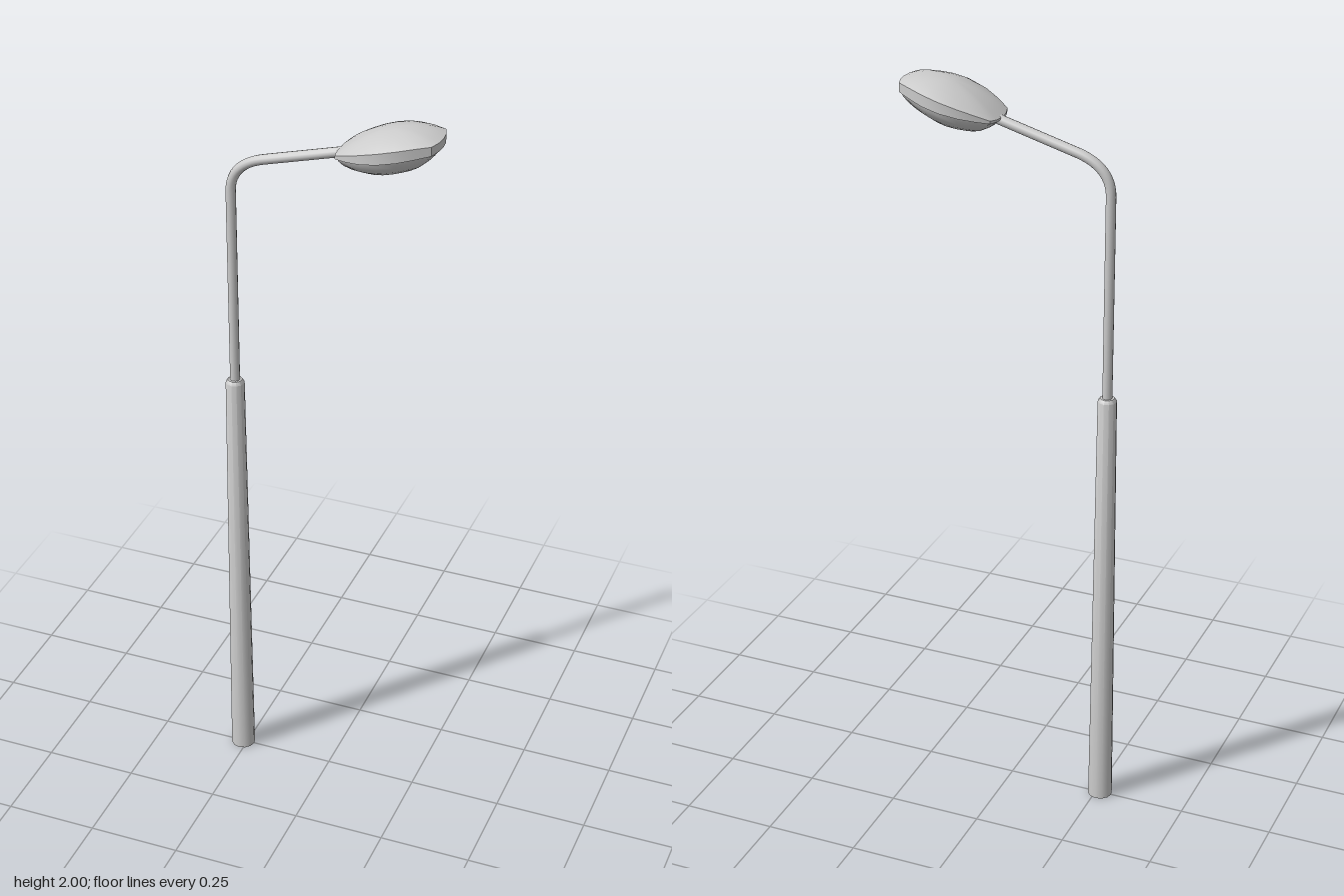
import * as THREE from 'three';
import { toCreasedNormals } from 'three/addons/utils/BufferGeometryUtils.js';

const POLE_X = -0.262;
const material = new THREE.MeshStandardMaterial({ color: 0xcccccc, side: THREE.DoubleSide });

// Half of the lamp head's plan outline as [x, z]; mirrored to close the loop
const half = [
  [0.026, 0], [0.029, 0.03], [0.036, 0.054], [0.068, 0.073], [0.108, 0.09], [0.156, 0.098],
  [0.203, 0.091], [0.243, 0.074], [0.28, 0.054], [0.289, 0.027], [0.292, 0],
];
const outline = [...half, ...half.slice(1, -1).reverse().map(([x, z]) => [x, -z])];
const HEAD_X = 0.158;

// The rim plane rises away from the pole
const rimY = (x) => 1.912 + 0.205 * (x - 0.026);
// Height of the shell's side band, thin at the arm and thicker towards the tip
const band = (x) => {
  const t = (x - 0.026) / 0.266;
  return 0.005 + 0.079 * t - 0.062 * t * t;
};

// Skin over scaled copies of the outline, listed from bottom to top as [scale, height(x)]
function loftHead(rings) {
  const n = outline.length;
  const positions = [];
  const index = [];
  rings.forEach(([s, height], i) => {
    outline.forEach(([ox, oz], j) => {
      const x = HEAD_X + (ox - HEAD_X) * s;
      positions.push(x, rimY(x) + height(x), oz * s);
      if (i === rings.length - 1) return;
      const a = i * n + j, b = i * n + (j + 1) % n;
      if (s > 0) index.push(a, b, a + n);
      if (rings[i + 1][0] > 0) index.push(b, b + n, a + n);
    });
  });
  const geometry = new THREE.BufferGeometry();
  geometry.setAttribute('position', new THREE.Float32BufferAttribute(positions, 3));
  geometry.setIndex(index);
  return toCreasedNormals(geometry, 0.7);
}

export function createModel() {
  const group = new THREE.Group();
  const add = (name, geometry) => {
    const mesh = new THREE.Mesh(geometry, material);
    mesh.name = name;
    group.add(mesh);
    return mesh;
  };

  // Tapered lower pole with a chamfered top
  const profile = [[0, 0], [0.033, 0], [0.025, 1.197], [0.019, 1.206], [0, 1.206]]
    .map(([r, y]) => new THREE.Vector2(r, y));
  const pole = add('lowerPole', toCreasedNormals(new THREE.LatheGeometry(profile, 12), 0.6));
  pole.position.x = POLE_X;

  // Thin upper pole bending into the arm
  const v = (x, y) => new THREE.Vector3(x, y, 0);
  const path = new THREE.CurvePath();
  path.add(new THREE.LineCurve3(v(POLE_X, 1.19), v(POLE_X, 1.75)));
  path.add(new THREE.QuadraticBezierCurve3(v(POLE_X, 1.75), v(POLE_X, 1.828), v(-0.17, 1.853)));
  path.add(new THREE.LineCurve3(v(-0.17, 1.853), v(0.05, 1.914)));
  add('upperPoleAndArm', new THREE.TubeGeometry(path, 72, 0.013, 12));

  // Domed shell: flat rim underside, side band, then crown
  const crown = (s) => [s, (x) => band(x) + 0.028 * (1 - s * s)];
  add('lampShell', loftHead([
    [0.9, () => 0], [1, () => 0], crown(1), crown(0.88), crown(0.7), crown(0.45), crown(0.2), crown(0),
  ]));

  // Bulging lens below the rim
  const bowl = [0, 0.25, 0.5, 0.7, 0.84, 0.93, 0.96];
  add('lampLens', loftHead(bowl.map((s) => [s, () => -0.06 * Math.pow(1 - (s / 0.96) ** 2, 0.7)])));

  return group;
}
